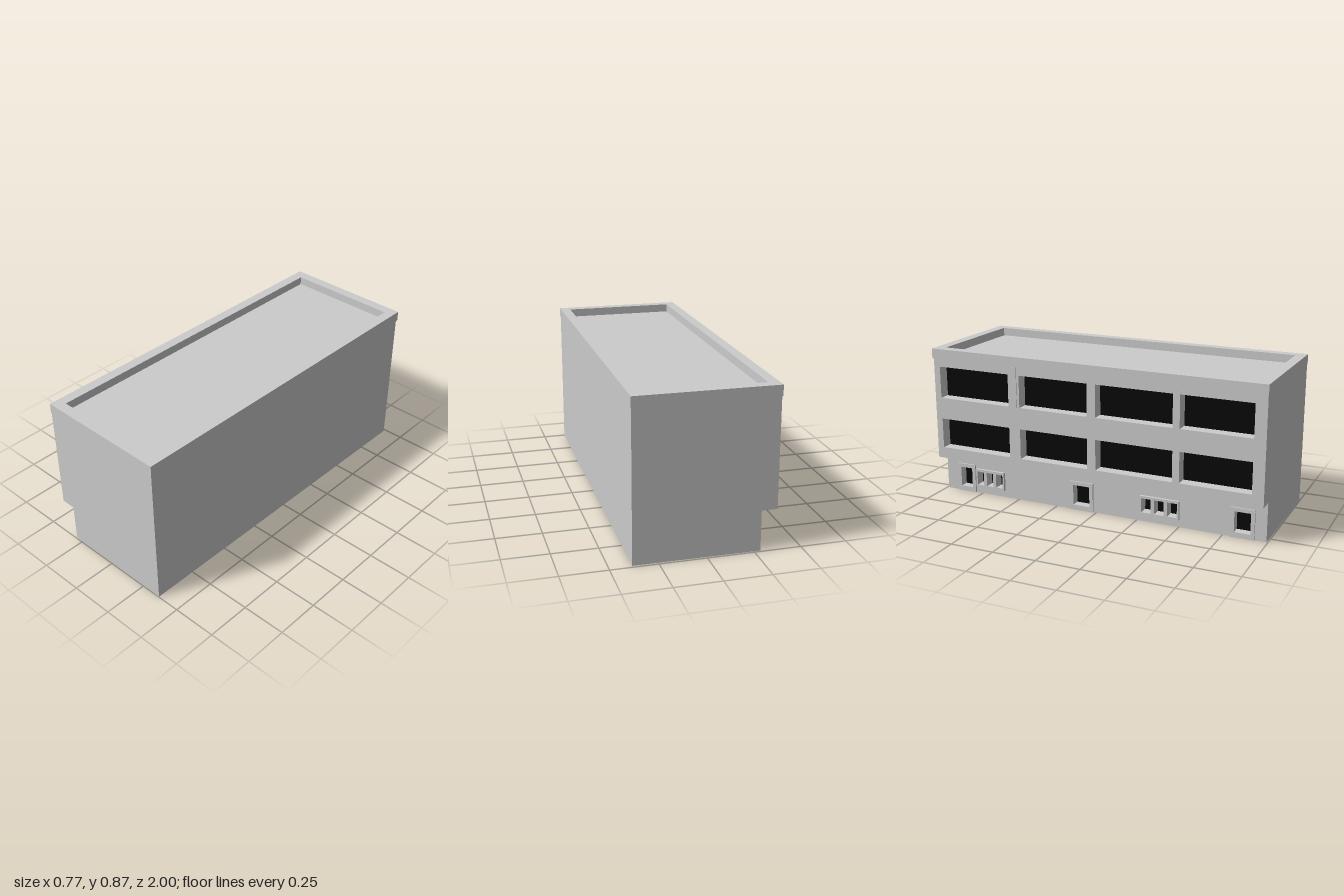
import * as THREE from 'three';

const grey = new THREE.MeshStandardMaterial({ color: 0xcccccc });
const dark = new THREE.MeshStandardMaterial({ color: 0x080808 });

// rectangle path from [u0, u1, v0, v1]
function rect([u0, u1, v0, v1], Type = THREE.Path) {
  const p = new Type();
  p.moveTo(u0, v0);
  p.lineTo(u1, v0);
  p.lineTo(u1, v1);
  p.lineTo(u0, v1);
  p.closePath();
  return p;
}

function plate(outline, holes, depth) {
  const shape = rect(outline, THREE.Shape);
  holes.forEach(h => shape.holes.push(rect(h)));
  return new THREE.ExtrudeGeometry(shape, { depth, bevelEnabled: false });
}

export function createModel() {
  const model = new THREE.Group();
  model.name = 'building';
  const body = new THREE.Group();
  body.name = 'buildingBody';
  body.rotation.y = -0.008; // the plan is turned very slightly
  model.add(body);

  const add = (name, geometry, material = grey) => {
    const mesh = new THREE.Mesh(geometry, material);
    mesh.name = name;
    body.add(mesh);
    return mesh;
  };
  const box = (name, x0, x1, y0, y1, z0, z1, material) => {
    const m = add(name, new THREE.BoxGeometry(x1 - x0, y1 - y0, z1 - z0), material);
    m.position.set((x0 + x1) / 2, (y0 + y1) / 2, (z0 + z1) / 2);
  };
  // pierced wall in the z-y plane, from xInner outwards to xOuter (towards -x)
  const wall = (name, xInner, xOuter, outline, holes) => {
    const g = plate(outline, holes, xInner - xOuter);
    g.rotateY(-Math.PI / 2);
    g.translate(xInner, 0, 0);
    add(name, g);
  };

  const back = -0.988, front = 0.995, side = 0.375;
  const step = 0.22, eaves = 0.815, top = 0.873;
  const upperFace = -0.376, upperInner = -0.306;
  const groundFace = -0.292, groundInner = -0.247;

  // solid cores behind the two facades
  box('upperCore', upperInner, side, step, eaves, back, front);
  box('groundCore', groundInner, side, 0, step, back, front);

  // upper facade: two rows of four deep windows
  const columns = [[-0.95, -0.5], [-0.43, -0.01], [0.04, 0.49], [0.53, 0.93]];
  const rows = [[0.285, 0.46], [0.585, 0.77]];
  const windows = rows.flatMap(r => columns.map(c => [...c, ...r]));
  wall('upperFacade', upperInner, upperFace, [back, front, step, eaves], windows);
  for (const [z0, z1, y0, y1] of windows) {
    box('windowGlass', upperInner - 0.004, upperInner, y0, y1, z0, z1, dark);
  }

  // shallow piers between the top windows
  for (const z of [-0.465, 0.51]) {
    box('pier', upperFace - 0.004, upperFace, 0.585, eaves, z - 0.02, z + 0.02);
  }

  // ground floor openings: framed doors and three-pane windows
  const doors = [[-0.91, -0.79], [-0.16, -0.015], [0.795, 0.93]].map(([a, b]) => ({
    name: 'doorFrame', outline: [a, b, 0, 0.17], proud: 0.008,
    holes: [[a + 0.022, b - 0.022, 0.03, 0.148]],
  }));
  const triples = [[-0.78, -0.59], [0.275, 0.505]].map(([a, b]) => {
    const w = (b - a) / 3;
    return {
      name: 'groundWindowFrame', outline: [a, b, 0.042, 0.152], proud: 0.016,
      holes: [0, 1, 2].map(i => [a + i * w + 0.01, a + (i + 1) * w - 0.01, 0.056, 0.138]),
    };
  });
  const openings = [...doors, ...triples];
  wall('groundFacade', groundInner, groundFace, [back, front, 0, step], openings.flatMap(o => o.holes));
  for (const o of openings) {
    wall(o.name, groundFace, groundFace - o.proud, o.outline, o.holes);
    for (const [z0, z1, y0, y1] of o.holes) {
      box('groundGlass', groundInner - 0.003, groundInner, y0, y1, z0, z1, dark);
    }
  }

  // parapet ring and sunken roof
  const ring = plate([-0.378, 0.378, -0.997, 0.997], [[-0.321, 0.321, -0.939, 0.939]], top - eaves);
  ring.rotateX(-Math.PI / 2);
  ring.translate(0, eaves, 0);
  add('parapet', ring);
  box('roofDeck', -0.321, 0.321, eaves, 0.826, -0.939, 0.939);

  return model;
}
